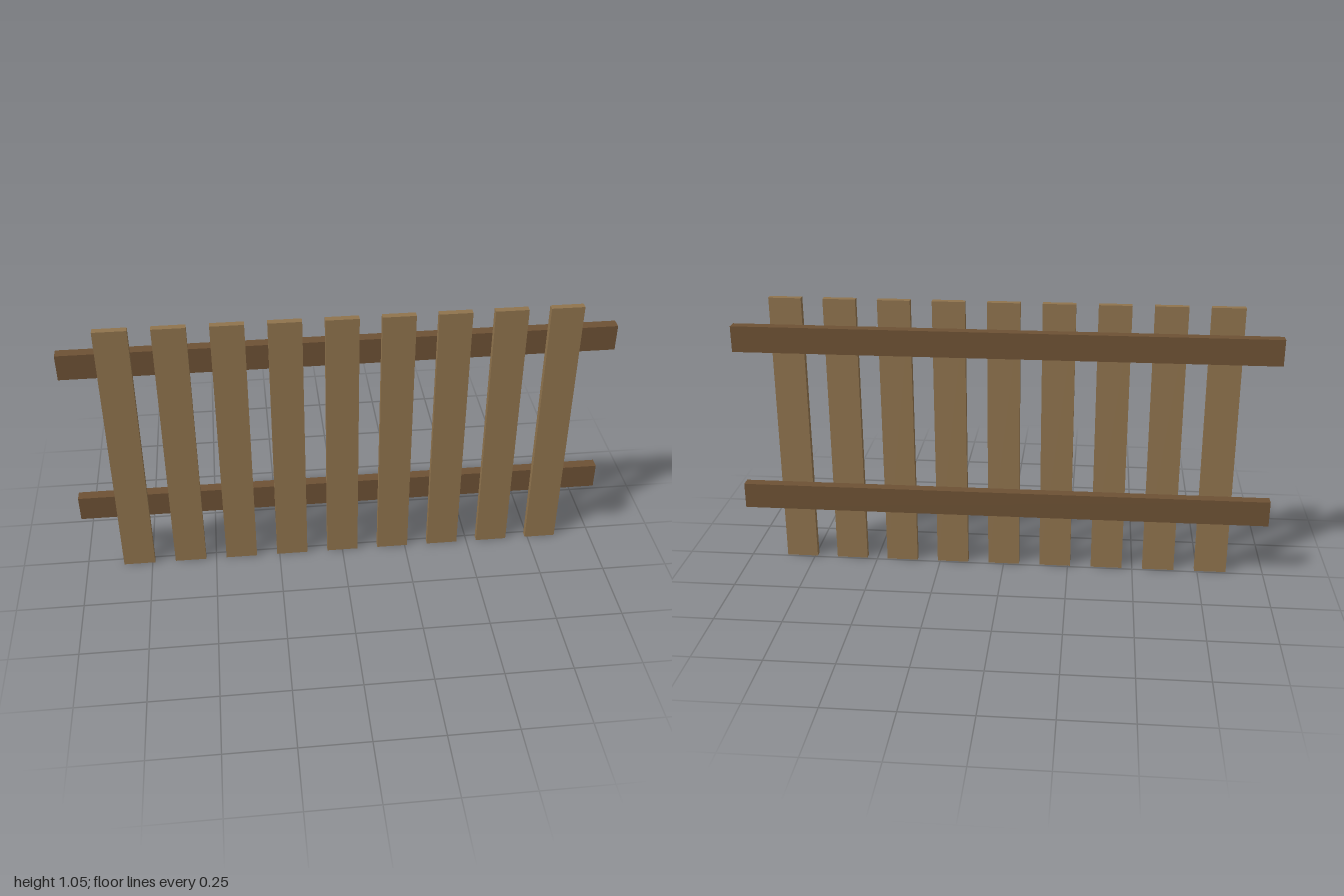
import * as THREE from 'three';

export function createModel() {
  const fence = new THREE.Group();
  fence.name = 'fence';

  const picketWood = new THREE.MeshStandardMaterial({ color: 0x8f734d });
  picketWood.name = 'light brown wood';
  const railWood = new THREE.MeshStandardMaterial({ color: 0x6d5134 });
  railWood.name = 'dark brown wood';

  const addBoard = (name, size, position, material) => {
    const board = new THREE.Mesh(new THREE.BoxGeometry(...size), material);
    board.name = name;
    board.position.set(...position);
    fence.add(board);
  };

  // Nine upright pickets on the front
  for (let i = -4; i <= 4; i++) {
    addBoard(`picket${i + 5}`, [0.12, 1.05, 0.025], [i * 0.2, 0.525, 0.02], picketWood);
  }

  // Two horizontal rails behind the pickets
  addBoard('lowerRail', [2, 0.098, 0.04], [0, 0.271, -0.0125], railWood);
  addBoard('upperRail', [2, 0.098, 0.04], [0, 0.901, -0.0125], railWood);

  return fence;
}
